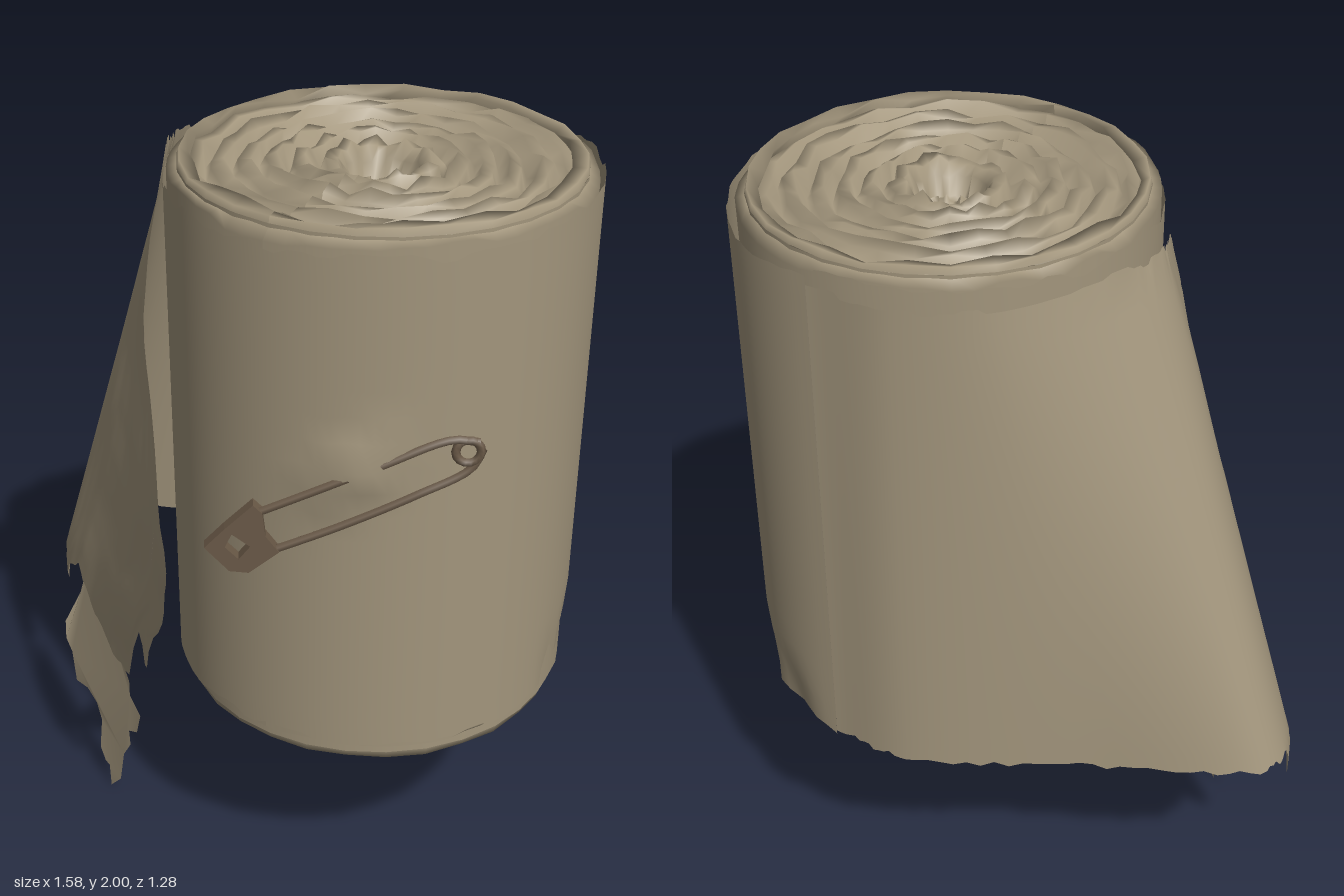
import * as THREE from 'three';

const cloth = new THREE.MeshStandardMaterial({ color: 0xa3967d, side: THREE.DoubleSide });
cloth.name = 'linen cloth';
const metal = new THREE.MeshStandardMaterial({ color: 0x6b5a48, side: THREE.DoubleSide });
metal.name = 'tarnished metal';

const CX = 0.25, CZ = -0.06;
const { lerp, clamp, smoothstep } = THREE.MathUtils;

// repeatable noise in -1..1
const noise = (i, j = 0) => {
  const s = Math.sin(i * 127.1 + j * 311.7 + 7.3) * 43758.5453;
  return (s - Math.floor(s)) * 2 - 1;
};

// piecewise linear lookup: rows of [key, ...values], keys ascending
function lookup(rows, k) {
  k = clamp(k, rows[0][0], rows[rows.length - 1][0]);
  let i = 1;
  while (i < rows.length - 1 && k > rows[i][0]) i++;
  const a = rows[i - 1], b = rows[i], t = (k - a[0]) / (b[0] - a[0]);
  return a.slice(1).map((v, n) => lerp(v, b[n + 1], t));
}

// grid surface from a rule fn(i, j) -> [x, y, z]
function sheet(nu, nv, fn) {
  const pos = [], idx = [];
  for (let i = 0; i <= nu; i++) for (let j = 0; j <= nv; j++) pos.push(...fn(i, j));
  for (let i = 0; i < nu; i++) for (let j = 0; j < nv; j++) {
    const a = i * (nv + 1) + j, b = a + nv + 1;
    idx.push(a, b, a + 1, b, b + 1, a + 1);
  }
  const g = new THREE.BufferGeometry();
  g.setAttribute('position', new THREE.Float32BufferAttribute(pos, 3));
  g.setIndex(idx);
  g.computeVertexNormals();
  return g;
}

function add(parent, name, geo, mat) {
  const m = new THREE.Mesh(geo, mat);
  m.name = name;
  parent.add(m);
  return m;
}

// wound layers: crumpled sloping rings around a central pit
function endGeometry(top) {
  const profile = [[0.001, 1.87], [0.03, 1.86], [0.04, 1.9], [0.07, 1.88], [0.09, 1.94]];
  for (let r = 0.115; r < 0.45; r += 0.066) profile.push([r, 1.972], [r + 0.03, 1.965], [r + 0.043, 1.928]);
  profile.push([0.465, 1.985], [0.495, 1.99], [0.5, 1.97]);
  const n = 30, last = profile.length - 1;
  return sheet(n, last, (i, j) => {
    const a = i / n * Math.PI * 2, k = i % n, edge = j >= last - 1 || j === 0;
    const r = profile[j][0] + (edge ? 0 : noise(k, Math.floor((j - 2) / 3)) * 0.01);
    const y = profile[j][1] + noise(k + 50, j) * (edge ? 0.005 : 0.016);
    return [CX + r * Math.sin(a), top ? y : 2.525 - y, CZ + r * Math.cos(a)];
  });
}

// outermost turn: starts behind, passes the front and lifts away at the back
function wrapGeometry() {
  const nu = 96, nv = 20;
  return sheet(nu, nv, (i, j) => {
    const a = lerp(-Math.PI, Math.PI, i / nu), v = j / nv;
    const top = 1.94 - 0.012 * Math.cos(a) + noise(Math.floor(i / 2)) * 0.012 + noise(i, 6) * 0.006;
    const bottom = 0.6 + noise(Math.floor(i / 2), 9) * 0.012;
    const y = lerp(bottom, top, v);
    const lift = smoothstep(a, 1.7, Math.PI);
    let r = 0.533 - 0.01 * (1 - v) * (1 - lift) + lerp(0.054, 0.032, v) * lift;
    // pucker where the pin gathers the cloth
    r += 0.035 * Math.exp(-(((a - 0.42) / 0.2) ** 2) - ((y - 1.39 - (a - 0.42) * 0.25) / 0.05) ** 2);
    // crumpled lower hem, at the right and behind
    const crumple = smoothstep(a, 1.5, 1.9) * (1 - smoothstep(a, 2.7, 3.1));
    r -= 0.035 * crumple * Math.abs(Math.sin(a * 7)) * (1 - smoothstep(y, 0.6, 0.78));
    return [CX + r * Math.sin(a), y, CZ + r * Math.cos(a)];
  });
}

// loose flap: plan section at each height runs back -> left fold -> free front edge
const FRONT_EDGE = [ // y, x, z
  [0.55, -0.13, 0.46], [0.75, -0.07, 0.525], [0.9, 0.02, 0.585], [0.98, 0.05, 0.61], [1.1, 0.08, 0.64],
  [1.25, 0.01, 0.57], [1.36, -0.06, 0.48], [1.56, -0.2, 0.33], [1.72, -0.27, 0.2], [1.92, -0.32, 0.05]];
const HEM = [ // u, y
  [0, 0.6], [0.4, 0.6], [0.6, 0.59], [0.665, 0.44], [0.71, 0.53], [0.765, 0.63], [0.83, 0.56],
  [0.89, 0.5], [0.94, 0.5], [0.96, 0.73], [0.975, 0.71], [0.99, 0.6], [1, 0.64]];

function flapGeometry() {
  const nu = 84, nv = 26;
  return sheet(nu, nv, (i, j) => {
    const u = i / nu;
    const hem = lookup(HEM, u)[0] + (i ? noise(i, 2) * 0.01 : 0);
    const y = lerp(1.93 + noise(Math.floor(i / 3), 4) * 0.012, hem, j / nv);
    const t = clamp((1.92 - y) / 1.34, 0, 1);
    const [ex, ez] = lookup(FRONT_EDGE, y);
    const p = (x0, x1, z0, z1) => new THREE.Vector3(lerp(x0, x1, t), 0, lerp(z0, z1, t));
    const fold = p(-0.34, -0.765, -0.02, 0.015);
    const curve = new THREE.CatmullRomCurve3([
      p(CX, CX, -0.625, -0.647), p(0.03, 0.03, -0.605, -0.632), p(-0.17, -0.4, -0.48, -0.39),
      p(-0.33, -0.785, -0.14, -0.15), fold,
      new THREE.Vector3((fold.x + ex) / 2 - 0.03 * t, 0, (fold.z + ez) / 2 + 0.01 * t),
      new THREE.Vector3(ex, 0, ez)]);
    const q = curve.getPoint(u);
    const ragged = u > 0.98 ? noise(j, 8) * 0.016 * t : 0;
    const ripple = u > 0.7 ? noise(Math.floor(i / 4), Math.floor(j / 4)) * 0.006 * t : 0;
    return [q.x + ragged, y, q.z + ragged + ripple];
  });
}

// torn tail hanging below the flap, its root tucked just behind it
function tailGeometry() {
  const outline = [[-0.58, 0.64], [-0.6, 0.62], [-0.61, 0.52], [-0.65, 0.42], [-0.65, 0.36], [-0.62, 0.33],
    [-0.6, 0.24], [-0.54, 0.25], [-0.49, 0.23], [-0.46, 0.19], [-0.46, 0.1], [-0.43, 0.07], [-0.41, 0.07],
    [-0.4, 0.005], [-0.35, 0.06], [-0.34, 0.15], [-0.31, 0.2], [-0.32, 0.24], [-0.28, 0.26], [-0.26, 0.33],
    [-0.31, 0.37], [-0.31, 0.42], [-0.37, 0.49], [-0.36, 0.54], [-0.4, 0.6]];
  const g = new THREE.ShapeGeometry(new THREE.Shape(outline.map(([x, y]) => new THREE.Vector2(x, y))));
  const pos = g.attributes.position;
  for (let i = 0; i < pos.count; i++) {
    const x = pos.getX(i), y = pos.getY(i), root = smoothstep(y, 0.4, 0.64);
    const z = lerp(0.26, 0.215, root) + lerp(0.4, 0.7, root) * (x + 0.45);
    pos.setZ(i, z + 0.03 * (1 - smoothstep(y, 0, 0.3)));
  }
  g.computeVertexNormals();
  return g;
}

// safety pin built along local +x, from clasp to coil
function makePin() {
  const pin = new THREE.Group();
  pin.name = 'safetyPin';
  const v2 = (l) => l.map(([x, y]) => new THREE.Vector2(x, y));
  const clasp = new THREE.Shape(v2([[-0.015, 0.035], [0.01, -0.05], [0.05, -0.075], [0.14, -0.055], [0.13, 0], [0.15, 0.06], [0.14, 0.09], [0.05, 0.06]]));
  clasp.holes.push(new THREE.Path(v2([[0.03, 0.015], [0.06, 0.04], [0.085, -0.01], [0.045, -0.03]])));
  const claspGeo = new THREE.ExtrudeGeometry(clasp, { depth: 0.035, bevelEnabled: false });
  claspGeo.translate(0, 0, -0.017);
  add(pin, 'clasp', claspGeo, metal);
  const wire = (name, pts) => add(pin, name, new THREE.TubeGeometry(
    new THREE.CatmullRomCurve3(pts.map((p) => new THREE.Vector3(...p))), 24, 0.011, 6), metal);
  wire('fixedArm', [[0.1, -0.05, 0], [0.3, -0.055, 0.012], [0.5, -0.052, 0.018], [0.64, -0.045, 0.012], [0.685, -0.01, 0.01]]);
  wire('needleArm', [[0.1, 0.06, 0], [0.25, 0.06, 0.012], [0.45, 0.058, 0.022], [0.63, 0.045, 0.014], [0.685, 0.01, 0.01]]);
  const coil = add(pin, 'coil', new THREE.TorusGeometry(0.03, 0.011, 6, 14), metal);
  coil.position.set(0.652, 0, 0.012);
  const x = new THREE.Vector3(0.51, 0.29, -0.35).normalize();
  const y = new THREE.Vector3(0, 1, 0).addScaledVector(x, -x.y).normalize();
  const z = new THREE.Vector3().crossVectors(x, y);
  pin.quaternion.setFromRotationMatrix(new THREE.Matrix4().makeBasis(x, y, z));
  pin.position.set(0.2, 1.17, 0.595);
  return pin;
}

export function createModel() {
  const model = new THREE.Group();
  model.name = 'bandageRoll';

  const core = add(model, 'rollSide', new THREE.CylinderGeometry(0.5, 0.5, 1.42, 30, 1, true), cloth);
  core.position.set(CX, 1.2625, CZ);
  add(model, 'rollTop', endGeometry(true), cloth);
  add(model, 'rollBottom', endGeometry(false), cloth);

  // slightly shorter layer filling the rim under the outer turn
  add(model, 'innerLayer', sheet(60, 3, (i, j) => {
    const a = i / 60 * Math.PI * 2, k = Math.floor((i % 60) / 2);
    const [r, y] = [[0.497, 0.575], [0.519, 0.59 + noise(k, 1) * 0.012], [0.524, 1.95 + noise(k, 2) * 0.015], [0.497, 1.965]][j];
    return [CX + r * Math.sin(a), y, CZ + r * Math.cos(a)];
  }), cloth);

  add(model, 'outerTurn', wrapGeometry(), cloth);
  add(model, 'looseFlap', flapGeometry(), cloth);
  add(model, 'tornTail', tailGeometry(), cloth);
  model.add(makePin());
  return model;
}
